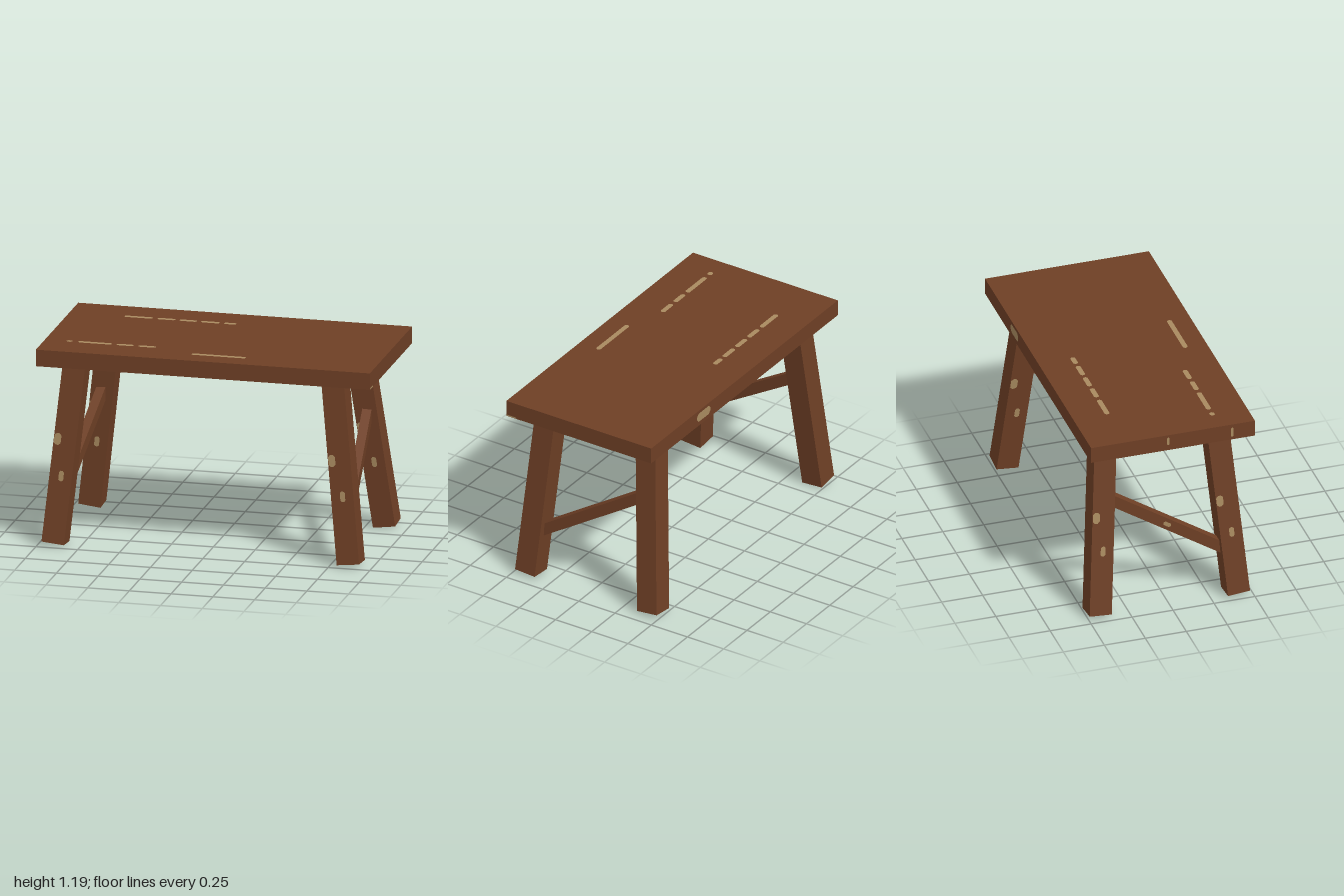
import * as THREE from 'three';

const wood = new THREE.MeshStandardMaterial({ color: 0x6e3f25 });
wood.name = 'brown wood';
const bare = new THREE.MeshStandardMaterial({ color: 0xa88a5f });
bare.name = 'bare worn wood';

function box(name, w, h, d) {
  const mesh = new THREE.Mesh(new THREE.BoxGeometry(w, h, d), wood);
  mesh.name = name;
  return mesh;
}

// Thin worn mark with clipped corners, facing +z until turned
function mark(w, h, position, rotation = [0, 0, 0]) {
  const c = Math.min(w, h) * 0.3, x = w / 2, y = h / 2;
  const outline = [[-x + c, -y], [x - c, -y], [x, -y + c], [x, y - c],
    [x - c, y], [-x + c, y], [-x, y - c], [-x, -y + c]];
  const shape = new THREE.Shape(outline.map(([a, b]) => new THREE.Vector2(a, b)));
  const mesh = new THREE.Mesh(new THREE.ShapeGeometry(shape), bare);
  mesh.name = 'wornMark';
  mesh.position.set(...position);
  mesh.rotation.set(...rotation);
  return mesh;
}

const UP = [-Math.PI / 2, 0, 0], DOWN = [Math.PI / 2, 0, 0];
const BACK = [0, Math.PI, 0], MINUS_X = [0, -Math.PI / 2, 0], PLUS_X = [0, Math.PI / 2, 0];
const GAP = 0.002;

// Square leg running between the centres of its foot and its top
function leg(name, foot, top) {
  const a = new THREE.Vector3(foot[0], 0.013, foot[1]);
  const b = new THREE.Vector3(top[0], 1.083, top[1]);
  const side = 0.135, face = side / 2 + GAP;
  const group = new THREE.Group();
  group.name = name;
  group.add(box('legPost', side, a.distanceTo(b), side));
  // The same two marks on the front and the -x face
  for (const [u, y, w, h] of [[-0.044, 0.08, 0.042, 0.07], [0.003, -0.135, 0.03, 0.062]]) {
    group.add(mark(w, h, [u, y, face]));
    group.add(mark(w, h, [-face, y, u], MINUS_X));
  }
  group.position.copy(a).lerp(b, 0.5);
  group.quaternion.setFromUnitVectors(new THREE.Vector3(0, 1, 0), b.clone().sub(a).normalize());
  return group;
}

// Slanted brace, low at the front leg and high at the back leg
function brace(name, front, back) {
  const a = new THREE.Vector3(...front), b = new THREE.Vector3(...back);
  const group = new THREE.Group();
  group.name = name;
  group.add(box('braceBar', 0.055, 0.068, a.distanceTo(b)));
  group.add(mark(0.03, 0.06, [0, -0.034 - GAP, 0], DOWN));
  group.add(mark(0.05, 0.025, [-0.0275 - GAP, 0, 0], MINUS_X));
  group.position.copy(a).lerp(b, 0.5);
  group.lookAt(a);
  return group;
}

export function createModel() {
  const model = new THREE.Group();
  model.name = 'table';

  // Table top
  const top = box('tableTop', 2, 0.1, 1);
  top.position.y = 1.14;
  model.add(top);

  // Worn dashes on the upper face: z, then the start and end of each dash in x
  const rows = [
    [-0.292, [[-0.67, -0.5], [-0.47, -0.365], [-0.34, -0.235], [-0.21, -0.1], [-0.075, 0]]],
    [0.285, [[-0.87, -0.835], [-0.8, -0.6], [-0.57, -0.47], [-0.44, -0.335]]],
    [0.37, [[-0.1, 0.225]]],
  ];
  for (const [z, dashes] of rows) {
    for (const [x0, x1] of dashes) {
      model.add(mark(x1 - x0, 0.03, [(x0 + x1) / 2, 1.19 + GAP, z], UP));
    }
  }

  // Worn spots on the edges and underside
  model.add(mark(0.14, 0.055, [0.44, 1.145, -0.5 - GAP], BACK));
  model.add(mark(0.07, 0.008, [1 + GAP, 1.096, 0.465], PLUS_X));
  model.add(mark(0.014, 0.06, [-1 - GAP, 1.14, 0.36], MINUS_X));
  model.add(mark(0.014, 0.05, [-1 - GAP, 1.15, -0.03], MINUS_X));
  model.add(mark(0.09, 0.13, [-0.82, 1.09 - GAP, -0.14], DOWN));
  model.add(mark(0.06, 0.1, [-0.8, 1.09 - GAP * 1.5, -0.05], DOWN));

  // Splayed legs
  model.add(leg('frontRightLeg', [-0.905, 0.412], [-0.8, 0.318]));
  model.add(leg('frontLeftLeg', [0.865, 0.417], [0.755, 0.343]));
  model.add(leg('backRightLeg', [-0.898, -0.43], [-0.767, -0.358]));
  model.add(leg('backLeftLeg', [0.867, -0.427], [0.727, -0.327]));

  // Side braces
  model.add(brace('rightBrace', [-0.875, 0.295, 0.35], [-0.815, 0.72, -0.335]));
  model.add(brace('leftBrace', [0.835, 0.295, 0.35], [0.778, 0.72, -0.335]));

  return model;
}
